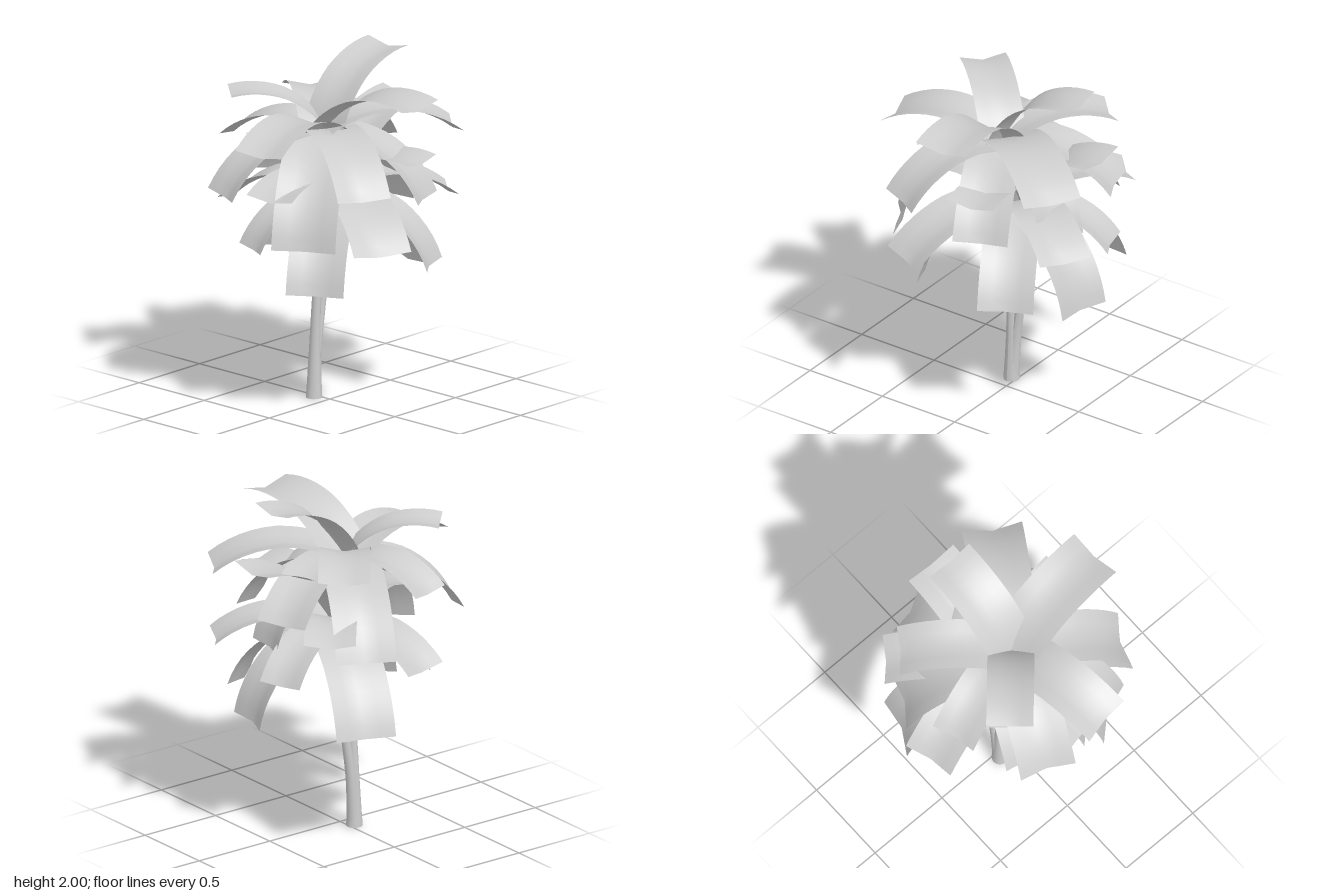
import * as THREE from 'three';

const V = (x, y, z) => new THREE.Vector3(x, y, z);
const BEND = THREE.MathUtils.degToRad(70); // total droop along each frond
const WIDTH = 0.465, VALLEY = 0.05;        // relative to the frond's span

// Frond tips around each crown, from the highest tier to the lowest
const CROWNS = [
  { name: 'tallCrown', base: V(-0.03, 1.595, -0.008), tips: [
    [0.495, 1.967, -0.012], [0.025, 1.82, 0.66], [-0.425, 1.805, -0.365], [-0.69, 1.59, 0.108],
    [0.355, 1.655, -0.497], [0.59, 1.55, 0.395], [-0.32, 1.34, 0.55], [-0.185, 1.5, -0.565],
    [0.577, 1.382, -0.23], [-0.602, 1.27, -0.245], [0.25, 1.185, -0.56], [0.2, 1.235, 0.525],
    [0.43, 1.13, 0.09], [-0.515, 1.04, 0.285]] },
  { name: 'shortCrown', base: V(0.07, 1.217, -0.025), tips: [
    [0.64, 1.645, -0.022], [0.15, 1.455, 0.555], [-0.29, 1.49, -0.355], [-0.575, 1.295, 0.08],
    [0.465, 1.305, -0.51], [0.63, 1.15, 0.325], [-0.245, 1.015, 0.62], [-0.08, 1.085, -0.655],
    [0.57, 1.01, -0.205], [-0.4, 0.92, -0.21], [0.265, 0.735, -0.57], [0.325, 0.805, 0.46],
    [0.563, 0.715, 0.077], [-0.385, 0.74, 0.25]] },
];

// A strip with a shallow V section that follows a circular arc from base to tip
function frondGeometry(base, tip) {
  const d = tip.clone().sub(base), span = d.length();
  const reach = Math.hypot(d.x, d.z);
  const out = V(d.x / reach, 0, d.z / reach);
  const side = V(out.z, 0, -out.x);
  const start = Math.atan2(d.y, reach) + BEND / 2;
  const R = span / (2 * Math.sin(BEND / 2));
  const geo = new THREE.PlaneGeometry(1, 1, 4, 12);
  const pos = geo.attributes.position;
  for (let i = 0; i < pos.count; i++) {
    const s = pos.getX(i), t = 0.5 - pos.getY(i), a = start - BEND * t;
    const lift = Math.abs(s) * 2 * VALLEY * span * Math.min(1, 0.5 + t);
    const along = R * (Math.sin(start) - Math.sin(a)) - lift * Math.sin(a);
    const up = R * (Math.cos(a) - Math.cos(start)) + lift * Math.cos(a);
    const p = base.clone().addScaledVector(out, along).addScaledVector(side, -s * WIDTH * span);
    pos.setXYZ(i, p.x, p.y + up, p.z);
  }
  geo.computeVertexNormals();
  return geo;
}

// Tube that narrows along its path, flaring at the foot
function taperedTube(points, r0, r1) {
  const path = new THREE.CatmullRomCurve3(points);
  const segments = 24, sides = 14;
  const geo = new THREE.TubeGeometry(path, segments, 1, sides);
  const pos = geo.attributes.position, v = V(0, 0, 0);
  for (let i = 0; i < pos.count; i++) {
    const t = Math.floor(i / (sides + 1)) / segments;
    const c = path.getPointAt(t);
    v.fromBufferAttribute(pos, i).sub(c);
    v.multiplyScalar(r1 + (r0 - r1) * Math.pow(1 - t, 4)).add(c);
    pos.setXYZ(i, v.x, Math.max(0, v.y), v.z);
  }
  geo.computeVertexNormals();
  return geo;
}

export function createModel() {
  const group = new THREE.Group();
  const grey = new THREE.MeshStandardMaterial({ color: 0xcccccc, side: THREE.DoubleSide });
  grey.name = 'light grey';
  const add = (parent, name, geo) => {
    const mesh = new THREE.Mesh(geo, grey);
    mesh.name = name;
    parent.add(mesh);
    return mesh;
  };

  // Two trunks sharing one foot
  add(group, 'tallTrunk', taperedTube([V(-0.03, 0, -0.093), V(-0.026, 0.3, -0.09),
    V(-0.02, 0.65, -0.078), V(0.013, 1.18, -0.045), V(-0.03, 1.605, -0.008)], 0.047, 0.022));
  add(group, 'shortTrunk', taperedTube([V(-0.025, 0.02, -0.093), V(0, 0.3, -0.098),
    V(0.04, 0.6, -0.092), V(0.052, 0.9, -0.065), V(0.07, 1.225, -0.025)], 0.04, 0.024));
  const foot = add(group, 'trunkFoot', new THREE.CircleGeometry(0.046, 14));
  foot.rotation.x = Math.PI / 2;
  foot.position.set(-0.03, 0.001, -0.093);

  // Two crowns of arching fronds
  for (const { name, base, tips } of CROWNS) {
    const crown = new THREE.Group();
    crown.name = name;
    for (const t of tips) add(crown, 'frond', frondGeometry(base, V(...t)));
    group.add(crown);
  }
  return group;
}
